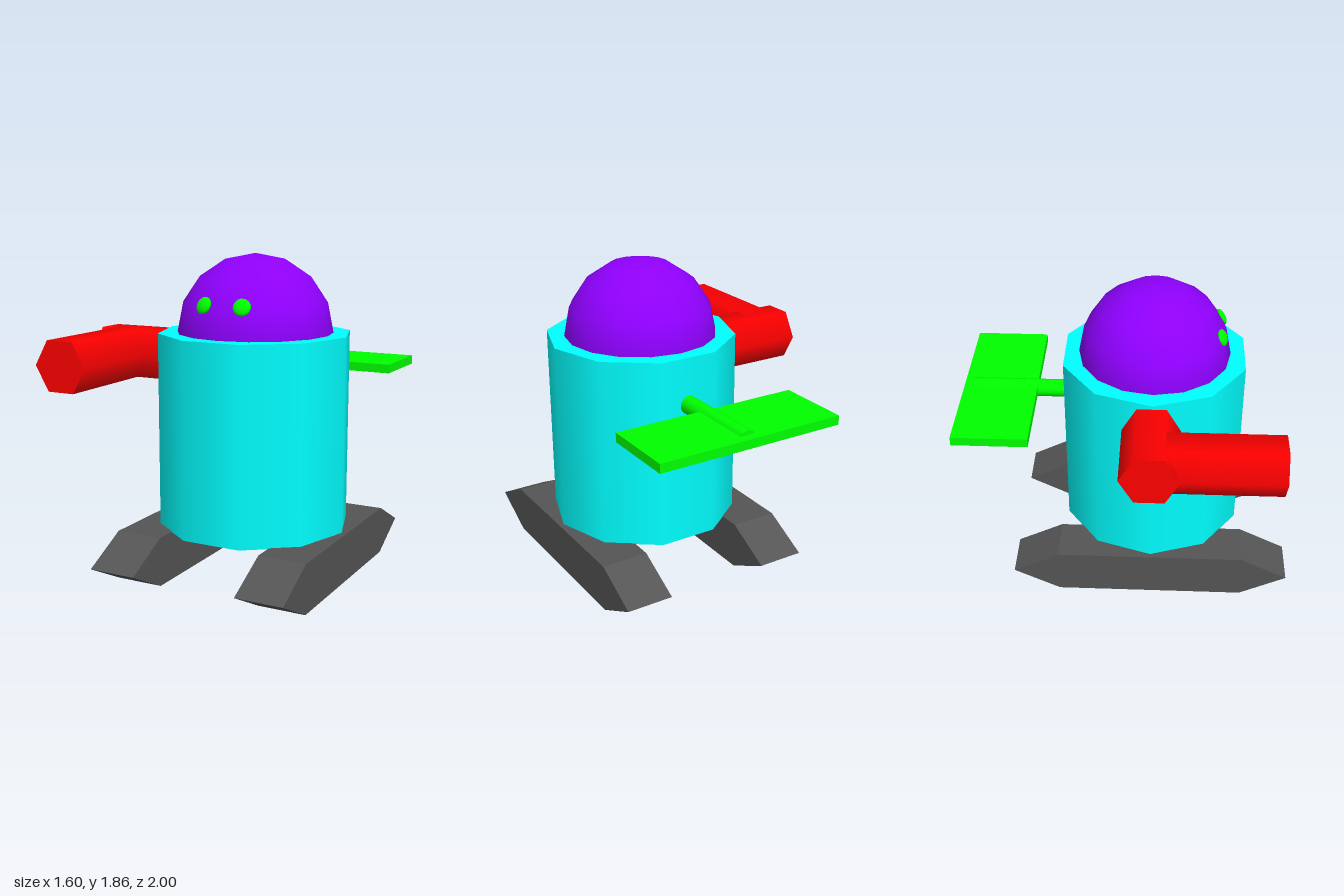
import * as THREE from 'three';

const CX = 0.21, CZ = 0.155; // body axis

function material(color, flatShading = false) {
  return new THREE.MeshStandardMaterial({ color, flatShading });
}

function part(name, geometry, mat, x, y, z) {
  const mesh = new THREE.Mesh(geometry, mat);
  mesh.name = name;
  mesh.position.set(x, y, z);
  return mesh;
}

export function createModel() {
  const model = new THREE.Group();
  model.name = 'robot';
  const cyan = material(0x00ffff);
  const purple = material(0x8f00ff);
  const red = material(0xff0000);
  const green = material(0x00ff00);
  const grey = material(0x555555, true);

  // Ten-sided body with corners on the x axis
  const bodyGeo = new THREE.CylinderGeometry(0.56, 0.56, 1.13, 10).rotateY(Math.PI / 2);
  model.add(part('body', bodyGeo, cyan, CX, 0.845, CZ));

  // Dome head
  const domeGeo = new THREE.SphereGeometry(0.45, 16, 4, 0, Math.PI * 2, 0, Math.PI / 2);
  model.add(part('head', domeGeo, purple, CX, 1.41, CZ));

  // Eyes: flattened beads facing outward from the dome
  for (const [name, side] of [['rightEye', -1], ['leftEye', 1]]) {
    const out = new THREE.Vector3(side * 0.117, 0.18, 0.39);
    const eye = part(name, new THREE.SphereGeometry(0.05, 16, 10), green,
      CX + out.x, 1.41 + out.y, CZ + out.z);
    eye.scale.z = 0.45;
    eye.quaternion.setFromUnitVectors(new THREE.Vector3(0, 0, 1), out.normalize());
    model.add(eye);
  }

  // Bent arm from two hexagonal bars, flat on top
  const armR = 0.168, armY = 1.243;
  const upperGeo = new THREE.CylinderGeometry(armR, armR, 0.45, 6).rotateZ(Math.PI / 2);
  model.add(part('upperArm', upperGeo, red, -0.575, armY, 0.15));
  const foreGeo = new THREE.CylinderGeometry(armR, armR, 0.735, 6)
    .rotateY(Math.PI / 2).rotateX(Math.PI / 2);
  model.add(part('forearm', foreGeo, red, -0.635, armY, 0.5175));

  // Tail rod and flat paddle
  const rodGeo = new THREE.CylinderGeometry(0.054, 0.054, 0.57, 16).rotateX(Math.PI / 2);
  model.add(part('tailRod', rodGeo, green, CX, 1.13, -0.66));
  model.add(part('tailPaddle', new THREE.BoxGeometry(1.13, 0.054, 0.445), green, CX, 1.132, -0.7775));

  // Feet: pointed hexagonal skids extruded across x
  const profile = new THREE.Shape([
    [-1, 0.1425], [-0.72, 0], [0.41, 0], [0.69, 0.1425], [0.41, 0.285], [-0.72, 0.285],
  ].map(([x, y]) => new THREE.Vector2(x, y)));
  const footGeo = new THREE.ExtrudeGeometry(profile, { depth: 0.28, bevelEnabled: false })
    .translate(0, 0, -0.14).rotateY(Math.PI / 2);
  for (const [name, side] of [['rightFoot', -1], ['leftFoot', 1]]) {
    model.add(part(name, footGeo, grey, CX + side * 0.45, 0, 0));
  }

  return model;
}
